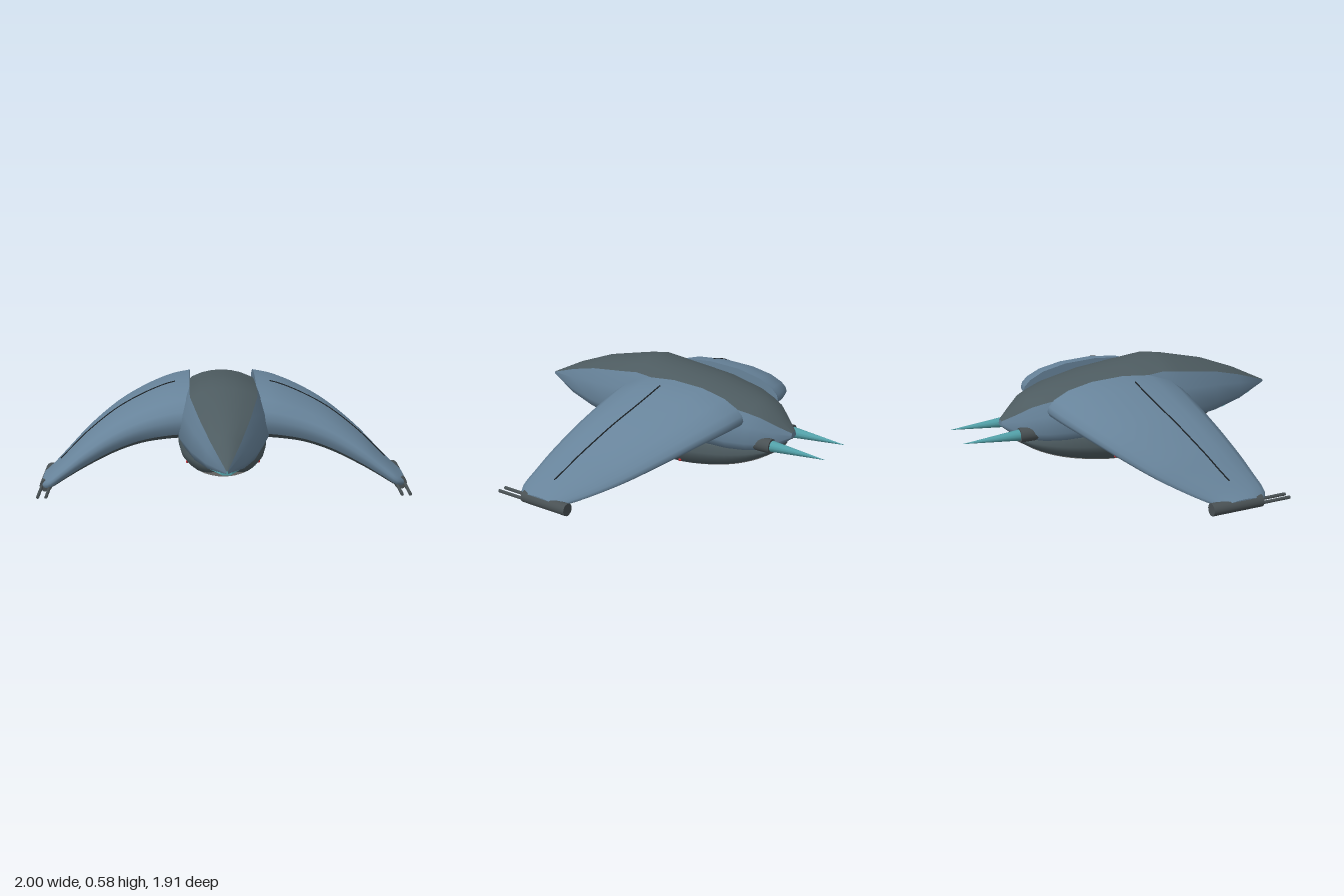
import * as THREE from 'three';
import { toCreasedNormals } from 'three/addons/utils/BufferGeometryUtils.js';

const paint = (name, color) => {
  const m = new THREE.MeshStandardMaterial({ color });
  m.name = name;
  return m;
};

// Skin between rows of points; outward side is (along row) x (row to row)
function skin(rows, flip = false, crease = 0.9) {
  const pos = [];
  const tri = (a, b, c) => {
    if (a.distanceTo(b) < 1e-6 || b.distanceTo(c) < 1e-6 || a.distanceTo(c) < 1e-6) return;
    for (const p of flip ? [a, c, b] : [a, b, c]) pos.push(p.x, p.y, p.z);
  };
  for (let i = 0; i < rows.length - 1; i++) {
    for (let j = 0; j < rows[i].length - 1; j++) {
      const a = rows[i][j], b = rows[i + 1][j], c = rows[i + 1][j + 1], d = rows[i][j + 1];
      tri(a, c, b);
      tri(a, d, c);
    }
  }
  const g = new THREE.BufferGeometry();
  g.setAttribute('position', new THREE.Float32BufferAttribute(pos, 3));
  g.computeVertexNormals();
  return toCreasedNormals(g, crease);
}

// Close both ends with rows collapsed to the section centre
function capped(rows) {
  const centre = (row) => {
    const c = new THREE.Vector3();
    row.forEach((p) => c.add(p));
    c.divideScalar(row.length);
    return row.map(() => c);
  };
  return [centre(rows[0]), ...rows, centre(rows[rows.length - 1])];
}

// Smoothly subdivide a list of stations
function refine(st, n) {
  const out = [];
  for (let i = 0; i < st.length - 1; i++) {
    const p0 = st[Math.max(i - 1, 0)], p1 = st[i], p2 = st[i + 1], p3 = st[Math.min(i + 2, st.length - 1)];
    for (let k = 0; k < n; k++) {
      const t = k / n;
      out.push(p1.map((v, c) => {
        const m1 = (p2[c] - p0[c]) / 2, m2 = (p3[c] - v) / 2, d = p2[c] - v;
        return v + m1 * t + (3 * d - 2 * m1 - m2) * t * t + (m1 + m2 - 2 * d) * t * t * t;
      }));
    }
  }
  return [...out, st[st.length - 1]];
}

// Hull point from a station [z, halfWidth, top, bottom] and a profile point [u, v]
const hullPoint = ([z, w, t, b], [u, v]) => new THREE.Vector3(u * w, b + v * (t - b), z);
const hullRows = (stations, profile) => stations.map((s) => profile.map((p) => hullPoint(s, p)));
const mirror = (half) => half.map(([u, v]) => [-u, v]);
// Symmetric arcs over the top and under the bottom, built from a half profile
const overTop = (half) => [...mirror(half).reverse(), ...half.slice(1)];
const underBottom = (half) => [...half, ...mirror(half).reverse().slice(1)];

export function createModel() {
  const model = new THREE.Group();
  model.name = 'spacecraft';
  const blue = paint('hullBlue', 0x67839a);
  const grey = paint('spineGrey', 0x4d5b60);
  const dark = paint('darkMetal', 0x495154);
  const light = paint('bellyGrey', 0xb4b4b0);
  const teal = paint('teal', 0x52a0a8);
  const black = paint('panelLine', 0x1c2226);
  const red = paint('lampRed', 0xd03038);

  const add = (name, geometry, material, x = 0, y = 0, z = 0) => {
    const m = new THREE.Mesh(geometry, material);
    m.name = name;
    m.position.set(x, y, z);
    model.add(m);
  };

  // Fuselage: grey spine over blue flanks
  const body = [
    [0.96, 0.004, 0.325, 0.31], [0.75, 0.105, 0.43, 0.25], [0.55, 0.18, 0.507, 0.22],
    [0.3, 0.245, 0.565, 0.2], [0.2, 0.25, 0.582, 0.2], [0, 0.25, 0.56, 0.2],
    [-0.2, 0.25, 0.535, 0.2], [-0.4, 0.23, 0.49, 0.2], [-0.5, 0.187, 0.46, 0.2],
    [-0.56, 0.155, 0.435, 0.21], [-0.63, 0.095, 0.38, 0.23], [-0.7, 0.025, 0.32, 0.285],
  ];
  const spine = [[0, 1], [0.25, 0.985], [0.5, 0.94], [0.74, 0.86]];
  const flank = [[0.74, 0.86], [0.9, 0.6], [1, 0.25], [0.87, 0.08], [0.45, 0], [0, 0]];
  add('spine', skin(hullRows(body, overTop(spine))), grey);
  add('fuselage', skin(hullRows(body, underBottom(flank))), blue);
  const tailRing = hullRows([body[body.length - 1]], [...overTop(spine), ...underBottom(flank).slice(1)]);
  add('tailCap', skin(capped(tailRing).slice(1)), blue);

  // Thin chin wedge below the nose
  const chin = [[0.855, 0.03, 0.285, 0.266], [0.64, 0.085, 0.25, 0.214]];
  const chinRing = [[-1, 0.3], [-0.8, 1], [0.8, 1], [1, 0.3], [0.7, 0], [-0.7, 0], [-1, 0.3]];
  add('chinPlate', skin(capped(hullRows(chin, chinRing)), false, 0.3), teal);

  // Belly pod: dark sides, light keel
  const belly = refine([
    [0.61, 0.02, 0.215, 0.195], [0.41, 0.15, 0.23, 0.1], [0.2, 0.225, 0.24, 0.045],
    [0, 0.25, 0.24, 0.02], [-0.15, 0.25, 0.24, 0.025], [-0.35, 0.22, 0.24, 0.065],
    [-0.5, 0.165, 0.235, 0.12], [-0.62, 0.085, 0.225, 0.195],
  ], 4);
  const podSide = [[0, 1], [0.6, 1], [0.92, 0.9], [1, 0.65], [0.95, 0.45], [0.83, 0.28], [0.74, 0.2]];
  const keel = [[0.74, 0.2], [0.6, 0.12], [0.42, 0.055], [0.22, 0.012], [0, 0]];
  add('bellyPod', skin(hullRows(belly, overTop(podSide))), grey);
  add('bellyKeel', skin(hullRows(belly, underBottom(keel))), light);
  const podRing = [...overTop(podSide), ...underBottom(keel).slice(1)];
  add('podRearCap', skin(capped(hullRows([belly[belly.length - 1]], podRing)).slice(1)), grey);

  // Wing stations [x, zFront, zBack, top, bottom] and airfoil [chord, height]
  const wing = refine([
    [0.185, 0.31, -0.495, 0.535, 0.26], [0.3, 0.31, -0.47, 0.513, 0.255],
    [0.45, 0.315, -0.405, 0.457, 0.235], [0.6, 0.335, -0.31, 0.382, 0.19],
    [0.75, 0.368, -0.175, 0.275, 0.125], [0.85, 0.392, -0.05, 0.185, 0.075],
    [0.935, 0.407, 0.075, 0.11, 0.03], [0.985, 0.365, 0.15, 0.072, 0.02],
  ], 4);
  const upper = [[0, 0.45], [0.02, 0.62], [0.1, 0.8], [0.25, 0.94], [0.45, 1], [0.68, 0.97], [0.85, 0.86], [0.95, 0.71], [0.99, 0.59], [1, 0.49]];
  const trailing = [[0.985, 0.4], [0.94, 0.35]];
  const lower = [[0.94, 0.35], [0.85, 0.29], [0.6, 0.15], [0.3, 0.02], [0.12, 0], [0.03, 0.15]];
  const leading = [[0.03, 0.15], [0.005, 0.3]];
  const outer = [...leading, ...upper, ...trailing];
  const upperHeight = (s) => {
    const k = upper.findIndex((p) => p[0] >= s), a = upper[k - 1], b = upper[k];
    return a[1] + ((b[1] - a[1]) * (s - a[0])) / (b[0] - a[0]);
  };

  for (const side of [1, -1]) {
    const label = side > 0 ? 'left' : 'right';
    const wingRows = (profile) => wing.map(([x, zf, zb, t, b]) => profile.map(
      ([s, v]) => new THREE.Vector3(side * x, b + v * (t - b), zf + s * (zb - zf))));
    add(label + 'WingTop', skin(wingRows(outer), side > 0, 1.1), blue);
    add(label + 'WingUnderside', skin(wingRows(lower), side > 0), grey);
    const ends = capped(wingRows([...outer, ...lower.slice(1)]));
    add(label + 'WingRoot', skin(ends.slice(0, 2), side > 0), blue);
    add(label + 'WingTip', skin(ends.slice(-2), side > 0), blue);

    // Curved seam along the upper wing skin
    const seam = wing.filter((w) => w[0] > 0.26 && w[0] < 0.91).map(([x, zf, zb, t, b]) => {
      const z = -0.015 + 0.235 * Math.pow(Math.max(0, (x - 0.27) / 0.63), 1.7);
      return new THREE.Vector3(side * x, b + upperHeight((zf - z) / (zf - zb)) * (t - b) + 0.001, z);
    });
    add(label + 'WingSeam', new THREE.TubeGeometry(new THREE.CatmullRomCurve3(seam), 50, 0.004, 6), black);

    // Wing tip pod with twin barrels
    const pod = new THREE.CylinderGeometry(0.034, 0.034, 0.29, 16).rotateX(Math.PI / 2);
    add(label + 'TipPod', pod, dark, side * 0.964, 0.039, 0.222);
    for (const x of [0.943, 0.987]) {
      const barrel = new THREE.CylinderGeometry(0.009, 0.009, 0.2, 8).rotateX(Math.PI / 2);
      add(label + 'Barrel', barrel, dark, side * x, 0.034, 0.427);
    }

    // Engine housing and exhaust spike
    const housing = new THREE.CylinderGeometry(0.04, 0.04, 0.2, 16).rotateX(Math.PI / 2);
    add(label + 'Engine', housing, dark, side * 0.118, 0.26, -0.533);
    const spike = new THREE.ConeGeometry(0.031, 0.325, 12).rotateX(-Math.PI / 2);
    add(label + 'ExhaustSpike', spike, teal, side * 0.115, 0.26, -0.79);

    // Row of lamps on the pod side
    for (const i of [9, 11, 13, 15]) {
      const p = hullPoint(belly[i], [side * 0.85, 0.3]);
      add(label + 'Lamp', new THREE.SphereGeometry(0.009, 8, 6), red, p.x, p.y, p.z);
    }
  }
  return model;
}
